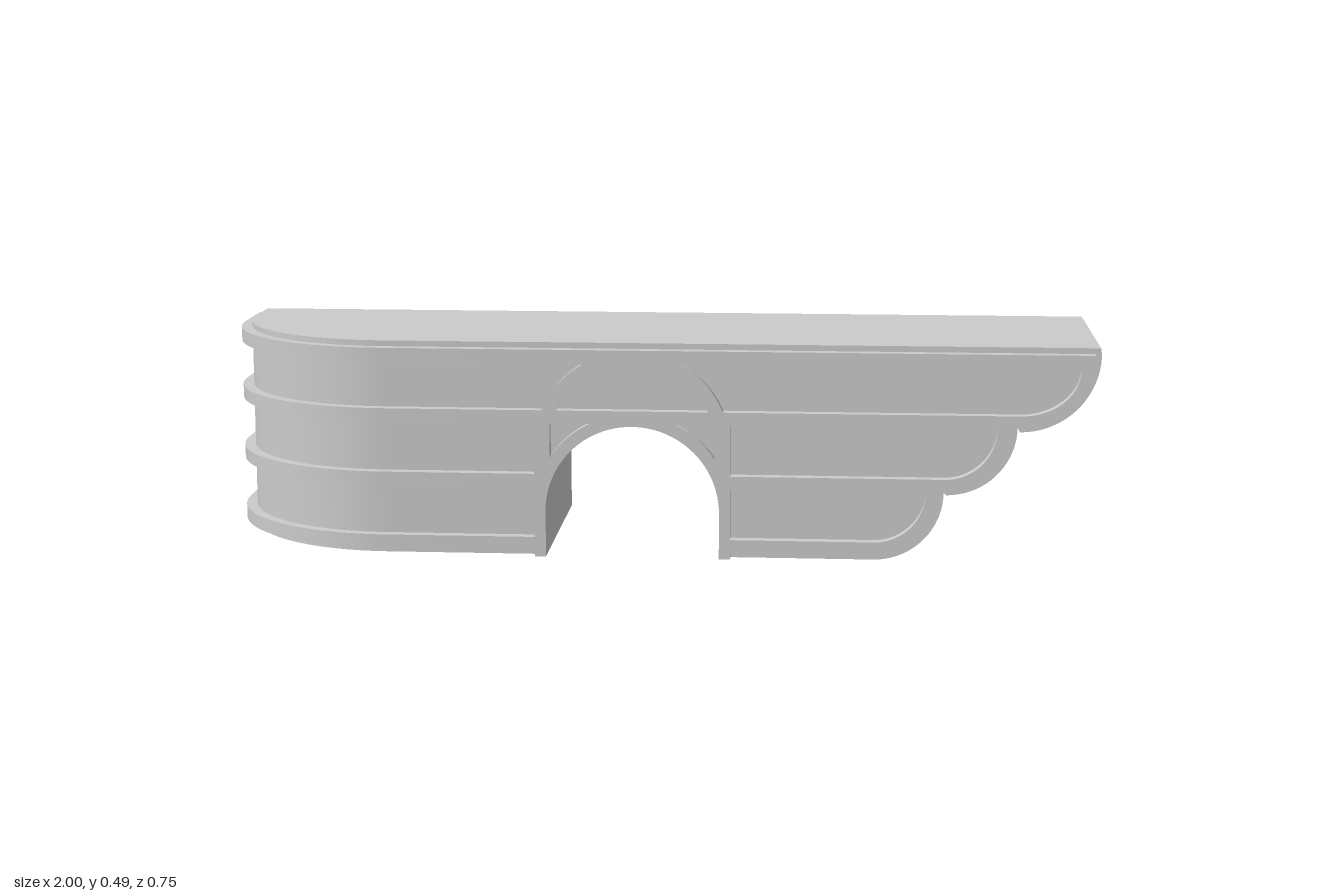
import * as THREE from 'three';
import { toCreasedNormals } from 'three/addons/utils/BufferGeometryUtils.js';

const { PI } = Math;
const AX = -0.04, R = 0.195, RO = 0.22, SPRING = 0.25, LOW = 0.105; // arch axis, radii, spring heights
const H = 0.485, LIP = 0.013, FRONT = 0.348, BACK = -0.147, T = 0.025;
const ROWS = [[0.045, 0.16], [0.19, 0.305], [0.335, 0.44]]; // recessed panel heights
const BANDS = [[LIP, 0.045], [0.16, 0.19], [0.305, 0.335], [0.44, H - LIP]];
const A_LO = Math.asin((0.335 - SPRING) / RO), A_HI = Math.asin((0.44 - SPRING) / RO);

const poly = pts => new THREE.Shape(pts.map(p => new THREE.Vector2(...p)));

export function createModel() {
  const root = new THREE.Group();
  const mat = new THREE.MeshStandardMaterial({ color: 0xcccccc });

  // axis 'z': shape in (x, y); 'x': shape in (-z, y); 'y': shape in (x, -z)
  function slab(name, shape, axis, from, to, parent = root) {
    let g = new THREE.ExtrudeGeometry(shape, { depth: to - from, bevelEnabled: false, curveSegments: 24 });
    g.translate(0, 0, from);
    if (axis === 'x') g.rotateY(PI / 2);
    if (axis === 'y') g.rotateX(-PI / 2);
    g = toCreasedNormals(g, 0.5);
    const m = new THREE.Mesh(g, mat);
    m.name = name;
    parent.add(m);
    return m;
  }

  // Arched notch, then the three-step scalloped right end, inset by d
  function archAndSteps(s, spring, d) {
    s.lineTo(AX - R, 0);
    s.lineTo(AX - R, spring);
    s.absarc(AX, spring, R, PI, 0, true);
    s.lineTo(AX + R, 0);
    s.lineTo(AX + RO, 0);
    if (d) s.lineTo(AX + RO, d);
    s.absarc(0.5, 0.155, 0.155 - d, -PI / 2, 0, false);
    s.absarc(0.66, 0.305, 0.155 - d, -PI / 2, 0, false);
    s.absarc(0.82, 0.47, 0.175 - d, -PI / 2, 0, false);
    s.lineTo(0.993 - d, H - d);
  }

  // Panel openings to the right of the arch
  function rightPanels() {
    const ends = [[0.5, 0.115], [0.655, 0.115], [0.82, 0.13]];
    return ROWS.map(([y0, y1], i) => {
      const p = new THREE.Path(), [cx, rx] = ends[i];
      if (i < 2) p.moveTo(AX + RO, y1).lineTo(AX + RO, y0);
      else p.absarc(AX, SPRING, RO, A_HI, A_LO, true);
      p.lineTo(cx, y0);
      p.absellipse(cx, y1, rx, y1 - y0, -PI / 2, 0, false);
      return p;
    });
  }

  // Main block with tunnel
  const core = new THREE.Shape();
  core.moveTo(-0.6, 0);
  archAndSteps(core, SPRING, 0);
  core.lineTo(-0.6, H);
  slab('mainBody', core, 'z', BACK, FRONT);

  // Rounded end block
  const end = new THREE.Shape();
  end.moveTo(-0.6, -BACK);
  end.lineTo(-0.975, -BACK);
  end.lineTo(-0.975, 0.027);
  end.absarc(-0.6, 0.027, 0.375, PI, 1.5 * PI, false);
  slab('roundedEnd', end, 'y', 0, H);

  // Sloped wing at the back
  const wingProfile = d => [
    [0.14, d], [0.342 - d * 0.4, d], [0.36 - d, 0.012 + d * 0.8], [0.372 - d, 0.03 + d * 0.4], [0.372 - d, 0.062],
    [0.285 - d, 0.37], [0.27 - d, 0.398 - d * 0.3], [0.25 - d * 0.8, 0.424 - d * 0.6], [0.225 - d * 0.6, 0.448 - d * 0.8],
    [0.198 - d * 0.4, 0.467 - d], [0.172, 0.48 - d], [0.147, H - d], [0.14, H - d]];
  slab('wing', poly(wingProfile(0)), 'x', -0.975, -0.49);

  // Wing frame on the inner side
  const edges = [
    [[0.33, 0.045], [0.31, 0.16]],
    [[0.295, 0.19], [0.265, 0.305]],
    [[0.252, 0.335], [0.238, 0.375], [0.215, 0.405], [0.192, 0.427], [0.165, 0.44]]];
  const wingFrame = poly(wingProfile(LIP));
  wingFrame.holes = ROWS.map(([y0, y1], i) => poly([[0.1465, y0], ...edges[i], [0.1465, y1]]));
  slab('wingInnerFrame', wingFrame, 'x', -0.491, -0.465);

  // Wing border on the outer side
  const border = poly([...wingProfile(LIP).slice(1, -1), ...edges.flat().reverse(), [0.3, 0.045], [0.3, LIP]]);
  slab('wingOuterBorder', border, 'x', -1, -0.974);

  // Horizontal bands wrapping the rounded corner
  const starts = [-0.25, -0.25, -0.24, -0.14], stops = [0.335, 0.308, 0.262, 0.17];
  BANDS.forEach(([y0, y1], i) => {
    const s = new THREE.Shape();
    s.moveTo(-0.974, stops[i]);
    s.lineTo(-1, stops[i]);
    s.absarc(-0.6, 0.027, 0.4, PI, 1.5 * PI, false);
    s.lineTo(starts[i], -0.373);
    s.lineTo(starts[i], -0.347);
    s.absarc(-0.6, 0.027, 0.374, 1.5 * PI, PI, true);
    slab('cornerBand', s, 'y', y0, y1);
  });

  // Front frame with low arch, lunette and spandrel openings
  const front = new THREE.Shape();
  front.moveTo(AX - RO, 0);
  archAndSteps(front, LOW, LIP);
  front.lineTo(-0.15, H - LIP);
  front.absarc(AX, SPRING, RO, PI - A_HI, PI, false);
  const lunette = new THREE.Path(), ri = 0.19, la = Math.asin((0.335 - SPRING) / ri);
  lunette.absarc(AX, SPRING, ri, la, PI - la, false);
  const spandrels = [1, -1].map(side => {
    const pts = [[AX + side * 0.185, 0.305]];
    const a0 = Math.acos(0.185 / 0.222), a1 = Math.asin(0.2 / 0.222);
    for (let i = 0; i <= 8; i++) {
      const a = a0 + (a1 - a0) * i / 8;
      pts.push([AX + side * 0.222 * Math.cos(a), LOW + 0.222 * Math.sin(a)]);
    }
    return poly(pts);
  });
  front.holes = [...rightPanels(), lunette, ...spandrels];
  slab('frontFrame', front, 'z', FRONT - 0.001, FRONT + T);

  // Screen closing the top of the tunnel at the front
  const screen = new THREE.Shape();
  screen.moveTo(AX - R - 0.003, LOW);
  screen.absarc(AX, LOW, R, PI, 0, true);
  screen.lineTo(AX + R + 0.003, LOW);
  screen.absarc(AX, SPRING, R + 0.003, 0, PI, false);
  slab('archScreen', screen, 'z', FRONT - 0.025, FRONT);

  // Back frame with the tall arch
  const back = new THREE.Shape();
  back.moveTo(-0.52, LIP);
  back.lineTo(AX - RO, LIP);
  back.lineTo(AX - RO, 0);
  archAndSteps(back, SPRING, LIP);
  back.lineTo(-0.52, H - LIP);
  back.holes = rightPanels();
  ROWS.forEach(([y0, y1], i) => {
    const p = new THREE.Path();
    p.moveTo(-0.495, y1);
    p.lineTo(-0.495, y0);
    if (i < 2) p.lineTo(AX - RO, y0).lineTo(AX - RO, y1);
    else p.absarc(AX, SPRING, RO, PI - A_LO, PI - A_HI, true);
    back.holes.push(p);
  });
  slab('backFrame', back, 'z', BACK - T, BACK + 0.001);

  // Pair of half-round pads on the wing slope
  const pads = new THREE.Group();
  pads.name = 'slopePads';
  const gap = Math.asin(0.022 / 0.065);
  for (const turn of [0, PI]) {
    const s = new THREE.Shape();
    s.absarc(0, 0, 0.065, turn + gap, turn + PI - gap, false);
    slab('halfRoundPad', s, 'z', -0.01, 0.011, pads);
  }
  pads.position.set(-0.74, 0.315, -0.3007);
  pads.lookAt(-0.74, 0.315 + 0.274, -0.3007 - 0.96);
  root.add(pads);

  return root;
}
